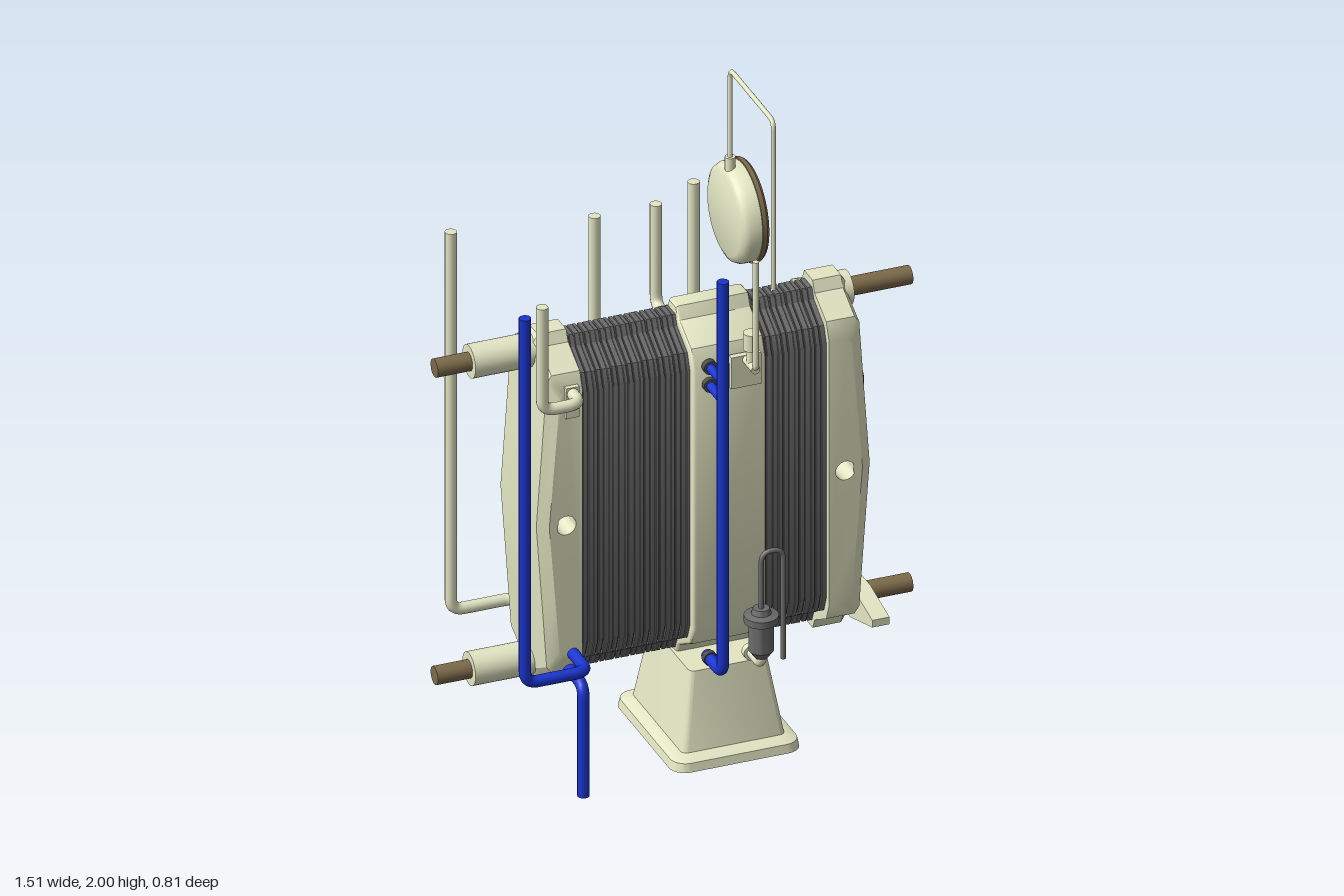
import * as THREE from 'three';
import { toCreasedNormals } from 'three/addons/utils/BufferGeometryUtils.js';

const mat = (c) => new THREE.MeshStandardMaterial({ color: c, side: THREE.DoubleSide });
const V = (p) => new THREE.Vector3(...p);
const ZC = 0.1, YC = 0.865; // centre line of the plate stack

// Half profile (distance from centre in z, half height), edge to middle
const PROFILE = [[0.163, 0.445], [0.14, 0.5], [0.05, 0.55], [0.033, 0.585]];

export function createModel() {
  const model = new THREE.Group();
  const cream = mat(0xe4e7c4), blue = mat(0x1a34d0), brown = mat(0x7d6b4b);
  const grey = mat(0x6c6c6c), dark = mat(0x4c4c4c);

  function add(name, geo, material, x = 0, y = 0, z = 0) {
    const m = new THREE.Mesh(geo, material);
    m.name = name;
    m.position.set(x, y, z);
    model.add(m);
    return m;
  }
  const box = (name, w, h, d, m, x, y, z) => add(name, new THREE.BoxGeometry(w, h, d), m, x, y, z);
  function cyl(name, axis, r, len, m, x, y, z, r2 = r) {
    const g = new THREE.CylinderGeometry(r, r2, len, 32);
    if (axis === 'x') g.rotateZ(-Math.PI / 2);
    if (axis === 'z') g.rotateX(Math.PI / 2);
    return add(name, g, m, x, y, z);
  }

  // Pipe along straight runs with rounded corners and closed ends
  function pipe(name, r, points, m, bend = 0.04) {
    const p = points.map(V), path = new THREE.CurvePath();
    let from = p[0];
    for (let i = 1; i < p.length - 1; i++) {
      const a = p[i].clone().add(p[i - 1].clone().sub(p[i]).setLength(bend));
      const b = p[i].clone().add(p[i + 1].clone().sub(p[i]).setLength(bend));
      path.add(new THREE.LineCurve3(from, a));
      path.add(new THREE.QuadraticBezierCurve3(a, p[i], b));
      from = b;
    }
    path.add(new THREE.LineCurve3(from, p[p.length - 1]));
    const n = Math.ceil(path.getLength() / 0.012);
    add(name, new THREE.TubeGeometry(path, n, r, 12), m);
    for (const [end, next] of [[p[0], p[1]], [p[p.length - 1], p[p.length - 2]]]) {
      const cap = add(name + 'End', new THREE.CircleGeometry(r, 12), m, ...end.toArray());
      cap.lookAt(end.clone().multiplyScalar(2).sub(next));
    }
  }

  // Slab with the stack profile, running from x0 to x1
  function slab(name, x0, x1, sz, sy, m, bevel = 0) {
    const right = PROFILE.map(([z, y]) => [z * sz - bevel, y * sy - bevel]);
    const pts = [...right, ...right.map(([z, y]) => [-z, y]).reverse(),
      ...right.map(([z, y]) => [-z, -y]), ...right.map(([z, y]) => [z, -y]).reverse()];
    const g = new THREE.ExtrudeGeometry(new THREE.Shape(pts.map((q) => new THREE.Vector2(...q))), {
      depth: x1 - x0 - 2 * bevel, bevelEnabled: bevel > 0, bevelSize: bevel, bevelThickness: bevel, bevelSegments: 3 });
    g.translate(0, 0, bevel).rotateY(Math.PI / 2);
    add(name, toCreasedNormals(g, 0.5), m, x0, YC, ZC);
  }

  // Plate packs: a core with ribs of varying width and depth
  for (const [x0, x1, n] of [[-0.355, 0.005, 22], [0.23, 0.435, 12]]) {
    slab('packCore', x0, x1, 0.84, 0.945, dark);
    const pitch = (x1 - x0) / n;
    for (let i = 0; i < n; i++) {
      const w = pitch * (0.6 + 0.15 * ((i * 7) % 3)), s = 0.89 - 0.015 * ((i * 5) % 3);
      slab('plate', x0 + i * pitch, x0 + i * pitch + w, s, 0.958, grey);
    }
  }
  slab('middleSection', 0, 0.235, 1.01, 1, cream, 0.012);

  // Bulged end covers with a through hole
  function endCover(x, turned) {
    const outline = [[0, -0.585], [0.09, -0.585], [0.105, -0.56], [0.12, -0.3], [0.138, 0],
      [0.12, 0.3], [0.105, 0.56], [0.09, 0.585], [0, 0.585]];
    const shape = new THREE.Shape(outline.map((q) => new THREE.Vector2(...q)));
    shape.holes.push(new THREE.Path().absarc(0.052, 0, 0.031, 0, Math.PI * 2, true));
    const layers = [...PROFILE.map(([z, y]) => [-z, y]), ...PROFILE.slice().reverse()];
    const g = new THREE.ExtrudeGeometry(shape, { depth: 1, steps: 7, bevelEnabled: false, curveSegments: 24 });
    const p = g.attributes.position;
    for (let i = 0; i < p.count; i++) {
      const k = Math.round(p.getZ(i) * 7), [z, h] = layers[k];
      const edge = k === 0 || k === 7;
      if (edge && p.getX(i) > 0.085) p.setX(i, p.getX(i) - 0.032);
      if (Math.abs(p.getY(i)) > 0.1) p.setY(i, p.getY(i) * h / 0.585);
      p.setZ(i, z);
    }
    if (turned) g.rotateY(Math.PI);
    add('endCover', toCreasedNormals(g, 0.4), cream, x, YC, ZC);
  }
  endCover(0.433, false);
  endCover(-0.35, true);

  // Tie rods, sleeves and collars
  for (const y of [1.385, 0.35]) {
    cyl('tieRod', 'x', 0.029, 1.51, brown, 0, y, ZC);
    cyl('rodSleeve', 'x', 0.052, 0.245, cream, -0.5225, y, ZC);
  }
  cyl('rodCollar', 'x', 0.054, 0.05, cream, 0.533, 1.385, ZC);
  cyl('rodCollar', 'x', 0.042, 0.1, cream, 0.56, 0.35, ZC);

  // Winged nut on the lower rod
  const wing = new THREE.Shape([[0.2, -0.012], [0.2, 0.012], [0.05, 0.042], [-0.05, 0.042], [-0.2, 0.012],
    [-0.2, -0.012], [-0.03, -0.065], [0.03, -0.065]].map((q) => new THREE.Vector2(...q)));
  const wingGeo = new THREE.ExtrudeGeometry(wing, { depth: 0.055, bevelEnabled: false }).rotateY(Math.PI / 2);
  add('wingNut', wingGeo, cream, 0.555, 0.353, ZC);

  // Pedestal: rounded rectangles, tapering upward
  function tapered(name, hx, hz, tx, tz, y, h, r) {
    const s = new THREE.Shape();
    [[hx, hz, 0], [-hx, hz, 1], [-hx, -hz, 2], [hx, -hz, 3]].forEach(([x, z, q]) =>
      s.absarc(x - Math.sign(x) * r, z - Math.sign(z) * r, r, q * Math.PI / 2, (q + 1) * Math.PI / 2));
    const g = new THREE.ExtrudeGeometry(s, { depth: h, bevelEnabled: false, curveSegments: 6 }).rotateX(-Math.PI / 2);
    const p = g.attributes.position;
    for (let i = 0; i < p.count; i++) if (p.getY(i) > h / 2) {
      p.setX(i, p.getX(i) * tx / hx);
      p.setZ(i, p.getZ(i) * tz / hz);
    }
    add(name, toCreasedNormals(g, 0.5), cream, 0.116, y, ZC);
  }
  tapered('pedestalFoot', 0.205, 0.245, 0.2, 0.24, 0, 0.028, 0.05);
  tapered('pedestalRim', 0.2, 0.24, 0.168, 0.207, 0.028, 0.015, 0.05);
  tapered('pedestal', 0.166, 0.205, 0.125, 0.163, 0.035, 0.255, 0.025);

  // Blue pipes at the front
  const R = 0.0185;
  pipe('blueLeftPipe', R, [[-0.58, 1.66, 0.378], [-0.58, 0.43, 0.378], [-0.38, 0.43, 0.378], [-0.38, 0.43, 0.24]], blue);
  pipe('blueDrainPipe', R, [[-0.385, 0, 0.355], [-0.385, 0.37, 0.355], [-0.385, 0.37, 0.24]], blue);
  pipe('blueMiddlePipe', R, [[0.05, 1.65, 0.375], [0.05, 0.33, 0.375], [0.05, 0.33, 0.25]], blue);
  for (const y of [1.25, 1.31]) cyl('blueBranch', 'z', 0.014, 0.115, blue, 0.05, y, 0.315);
  for (const y of [1.25, 1.31, 0.33]) cyl('blueFlange', 'z', 0.022, 0.02, dark, 0.05, y, 0.272);

  // Cream pipes, front and back
  pipe('frontLeftPipe', R, [[-0.508, 1.66, 0.335], [-0.508, 1.31, 0.335], [-0.385, 1.31, 0.335], [-0.385, 1.31, 0.24]], cream);
  pipe('backLeftPipe', R, [[-0.585, 1.66, -0.19], [-0.585, 0.385, -0.19], [-0.38, 0.385, -0.19], [-0.38, 0.385, -0.04]], cream);
  pipe('backLowPipe', R, [[-0.15, 1.65, -0.137], [-0.15, 0.33, -0.137], [0.045, 0.33, -0.137], [0.045, 0.33, -0.04]], cream);
  pipe('backHighPipe', R, [[0.045, 1.65, -0.137], [0.045, 1.31, -0.137], [0.045, 1.31, -0.04]], cream);
  pipe('backTallPipe', R, [[0.185, 1.67, -0.187], [0.185, 0.385, -0.187], [0.185, 0.385, -0.04]], cream);

  // Port pads
  for (const y of [1.25, 1.31]) {
    box('portPad', 0.042, 0.042, 0.016, cream, -0.385, y, 0.265);
    for (const x of [0.05, 0.185]) box('portPad', 0.042, 0.042, 0.014, cream, x, y, -0.068);
  }
  for (const x of [0.045, 0.185]) cyl('pipeFlange', 'z', 0.026, 0.025, cream, x, x < 0.1 ? 0.33 : 0.385, -0.075);

  // Sight glass and fitting behind the left cover
  box('pipeFitting', 0.05, 0.05, 0.045, cream, -0.38, 0.385, -0.09);
  for (const y of [0.45, 0.51]) cyl('sightValve', 'z', 0.014, 0.06, cream, -0.38, y, -0.08);
  cyl('sightStem', 'y', 0.01, 0.12, cream, -0.38, 0.48, -0.095);
  for (const x of [-0.4, -0.36]) box('sightFrame', 0.012, 0.17, 0.03, cream, x, 0.615, -0.09);
  for (const y of [0.535, 0.695]) box('sightFrame', 0.052, 0.015, 0.045, cream, -0.38, y, -0.085);
  cyl('sightTube', 'y', 0.01, 0.16, dark, -0.38, 0.615, -0.09);

  // Front valve with its pad and thin riser
  box('valvePad', 0.095, 0.105, 0.02, cream, 0.163, 1.277, 0.27);
  cyl('valveArm', 'z', 0.014, 0.09, cream, 0.165, 1.315, 0.305);
  cyl('valveStem', 'y', 0.013, 0.07, cream, 0.165, 1.345, 0.312);
  cyl('valveBody', 'y', 0.024, 0.055, cream, 0.165, 1.395, 0.312);
  pipe('valveRiser', 0.01, [[0.165, 1.68, 0.35], [0.165, 1.315, 0.35], [0.165, 1.315, 0.28]], cream, 0.02);

  // Strainer with looped vent tube
  const pot = [[0, 0.35], [0.02, 0.35], [0.038, 0.375], [0.038, 0.465], [0.052, 0.47], [0.052, 0.492], [0.03, 0.498], [0.025, 0.515], [0, 0.515]];
  add('strainer', toCreasedNormals(new THREE.LatheGeometry(pot.map((q) => new THREE.Vector2(...q)), 28), 0.5), grey, 0.18, 0, 0.355);
  pipe('ventTube', 0.008, [[0.18, 0.5, 0.355], [0.18, 0.7, 0.355], [0.25, 0.7, 0.355], [0.25, 0.33, 0.355]], grey, 0.034);
  pipe('strainerElbow', 0.016, [[0.18, 0.37, 0.355], [0.18, 0.325, 0.355], [0.18, 0.325, 0.25]], cream, 0.025);
  cyl('strainerFlange', 'z', 0.025, 0.02, cream, 0.18, 0.325, 0.272);

  // Grab handles on the end cover
  for (const y of [1.06, 0.6]) {
    pipe('handle', 0.009, [[0.55, y + 0.042, ZC], [0.6, y + 0.032, ZC], [0.6, y - 0.032, ZC], [0.55, y - 0.042, ZC]], dark, 0.015);
    for (const s of [-1, 1]) cyl('handleFoot', 'x', 0.015, 0.02, dark, 0.567, y + s * 0.042, ZC);
  }

  // Round dial with rim, hung from a thin wire arch
  const dial = [[0, 0], [0.13, 0], [0.147, 0.008], [0.155, 0.025], [0.155, 0.066]];
  const dialGeo = new THREE.LatheGeometry(dial.map((q) => new THREE.Vector2(...q)), 48).rotateZ(-Math.PI / 2);
  add('dialBody', toCreasedNormals(dialGeo, 0.7), cream, 0.302, 1.51, -0.238);
  const rim = [[0.143, 0.06], [0.16, 0.06], [0.16, 0.074], [0.154, 0.082], [0.143, 0.082], [0.143, 0.06]];
  const rimGeo = new THREE.LatheGeometry(rim.map((q) => new THREE.Vector2(...q)), 48).rotateZ(-Math.PI / 2);
  add('dialRim', toCreasedNormals(rimGeo, 0.5), brown, 0.302, 1.51, -0.238);
  cyl('dialFace', 'x', 0.145, 0.01, cream, 0.37, 1.51, -0.238);
  cyl('dialCollar', 'y', 0.016, 0.045, cream, 0.322, 1.677, -0.238);
  pipe('dialWire', 0.0075, [[0.322, 1.39, ZC], [0.322, 1.992, ZC], [0.322, 1.992, -0.238], [0.322, 1.66, -0.238]], cream, 0.025);

  return model;
}
